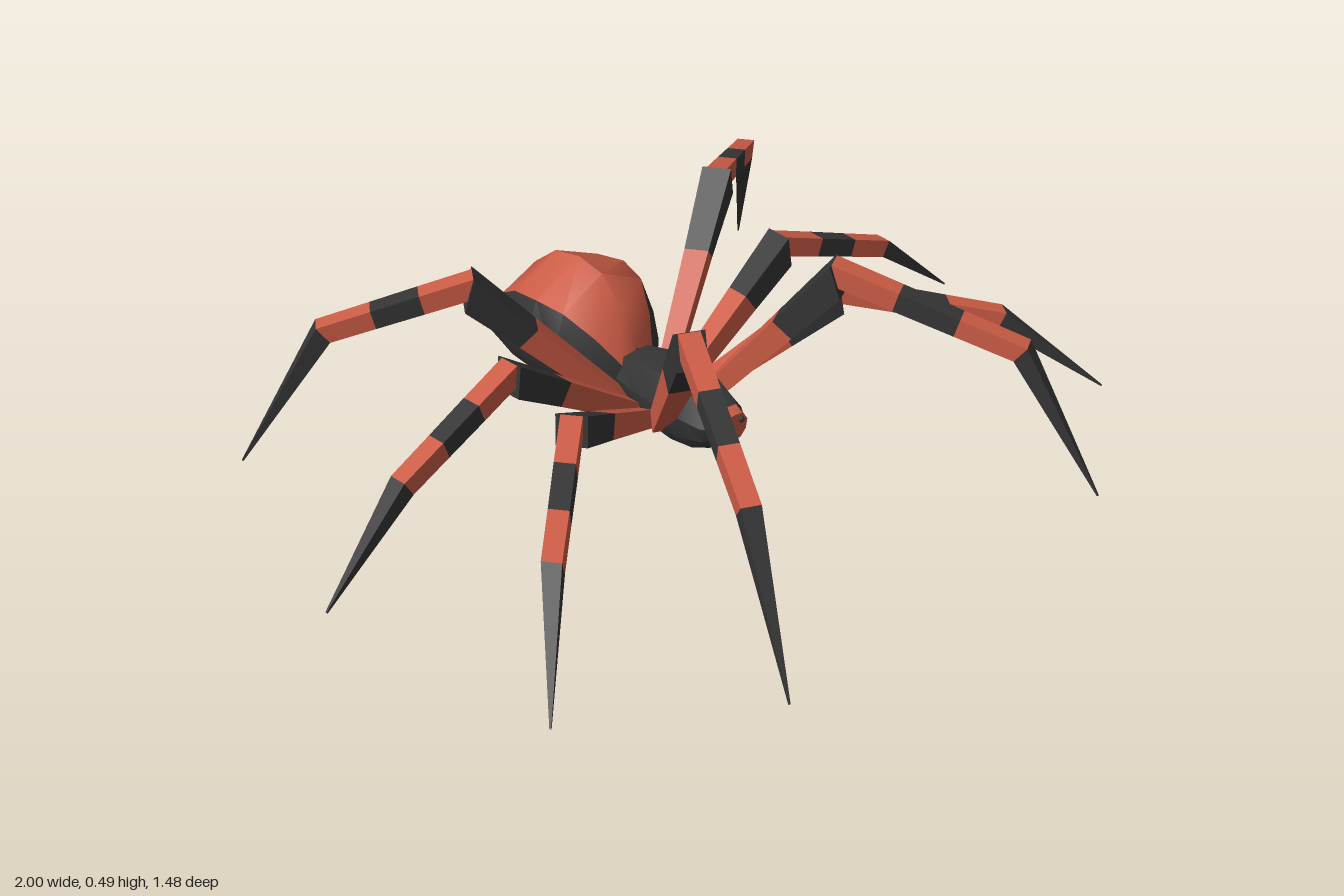
import * as THREE from 'three';
import { toCreasedNormals } from 'three/addons/utils/BufferGeometryUtils.js';

const V = (x, y, z) => new THREE.Vector3(x, y, z);
const red = new THREE.MeshStandardMaterial({ color: 0xcc5c46 });
const dark = new THREE.MeshStandardMaterial({ color: 0x353535 });
const UP = V(0, 1, 0);

// Skin closed rings (counter-clockwise about the travel direction); isRed(band, side) picks the colour.
function loft(name, rings, isRed, crease) {
  const n = rings[0].length, last = rings.length - 1;
  const faces = [[], []];
  for (let i = 0; i < last; i++) {
    for (let j = 0; j < n; j++) {
      const k = (j + 1) % n, a = i * n, b = a + n;
      faces[isRed(i, j) ? 0 : 1].push(a + j, a + k, b + k, a + j, b + k, b + j);
    }
  }
  for (let j = 1; j < n - 1; j++) {
    faces[isRed(-1, j) ? 0 : 1].push(0, j + 1, j);
    faces[isRed(last, j) ? 0 : 1].push(last * n, last * n + j, last * n + j + 1);
  }
  const geometry = new THREE.BufferGeometry().setFromPoints(rings.flat());
  geometry.setIndex(faces.flat());
  geometry.addGroup(0, faces[0].length, 0);
  geometry.addGroup(faces[0].length, faces[1].length, 1);
  const mesh = new THREE.Mesh(toCreasedNormals(geometry, crease), [red, dark]);
  mesh.name = name;
  return mesh;
}

// Square-section leg: banded thigh, banded shin and a pointed foot, mitred at the bends.
function leg(name, root, knee, ankle, tip) {
  const out = tip.clone().sub(root).setY(0).normalize();
  const side = UP.clone().cross(out);
  const normal = (a, b) => b.clone().sub(a).normalize().cross(side).normalize();
  const n1 = normal(root, knee), n2 = normal(knee, ankle), n3 = normal(ankle, tip);
  const mitre = (a, b) => {
    const m = a.clone().add(b).normalize();
    return m.divideScalar(Math.max(0.75, m.dot(a)));
  };
  const kneeUp = mitre(n1, n2), ankleUp = mitre(n2, n3);
  const shin = knee.clone().addScaledVector(kneeUp, 0.01);
  const stations = [
    [root, n1, 0.021],
    [root.clone().lerp(knee, 0.64), n1, 0.03],
    [knee, kneeUp, 0.036],
    [shin, kneeUp, 0.025],
    [shin.clone().lerp(ankle, 0.33), n2, 0.024],
    [shin.clone().lerp(ankle, 0.66), n2, 0.023],
    [ankle, ankleUp, 0.022],
    [tip, n3, 0.002],
  ];
  const corners = [[-1, -1], [1, -1], [1, 1], [-1, 1]];
  const rings = stations.map(([p, up, r]) => corners.map(([s, u]) =>
    p.clone().addScaledVector(side, s * r).addScaledVector(up, u * r)));
  return loft(name, rings, (i) => [0, 3, 5].includes(i), 0.3);
}

// Ring of half-profile points [x, y], the first on the centre line, mirrored across x.
function mirroredRing(z, half) {
  const left = half.map(([x, y]) => V(-x, y, z));
  const right = half.slice(1).reverse().map(([x, y]) => V(x, y, z));
  return [...left, ...right];
}

export function createModel() {
  const model = new THREE.Group();

  // Abdomen: z, half width, ridge height, belly height
  const abdomen = [
    [-0.74, 0.06, 0.11, 0.055], [-0.715, 0.1, 0.155, 0.042], [-0.63, 0.142, 0.27, 0.034],
    [-0.55, 0.174, 0.332, 0.026], [-0.46, 0.184, 0.35, 0.022], [-0.38, 0.163, 0.335, 0.024],
    [-0.31, 0.115, 0.265, 0.03], [-0.26, 0.065, 0.18, 0.04],
  ].map(([z, w, top, low]) => {
    const h = top - low;
    return mirroredRing(z, [
      [0, top], [w * 0.76, top - h * 0.2], [w, low + h * 0.45],
      [w * 0.87, low + h * 0.24], [w * 0.5, low],
    ]);
  });
  model.add(loft('abdomen', abdomen, (i, j) => i >= 0 && i < 7 && [0, 3, 5, 8].includes(j), 0.75));

  // Head and thorax in one tapering shell with a red face
  const thorax = [
    [-0.29, 0.06, 0.17, 0.045], [-0.2, 0.076, 0.192, 0.022], [-0.1, 0.082, 0.2, 0.015],
    [-0.03, 0.078, 0.185, 0.024], [0.025, 0.068, 0.16, 0.048], [0.042, 0.056, 0.152, 0.06],
    [0.068, 0.045, 0.142, 0.073],
  ].map(([z, w, top, low]) => {
    const h = top - low;
    return mirroredRing(z, [
      [0, top], [w * 0.6, top - h * 0.05], [w, low + h * 0.6],
      [w * 0.9, low + h * 0.25], [w * 0.5, low],
    ]);
  });
  model.add(loft('headAndThorax', thorax, (i) => i >= 5, 0.6));

  // Legs, front to back: root, knee, ankle, tip on the left side
  const legs = [
    ['frontLeg', [0.06, 0.06, -0.12], [0.23, 0.46, 0.17], [0.43, 0.345, 0.545], [0.505, 0.01, 0.738]],
    ['secondLeg', [0.06, 0.06, -0.155], [0.425, 0.267, 0.0], [0.71, 0.2, 0.27], [0.89, 0.01, 0.463]],
    ['thirdLeg', [0.06, 0.06, -0.195], [0.43, 0.312, -0.205], [0.76, 0.205, -0.165], [0.998, 0.01, -0.136]],
    ['backLeg', [0.06, 0.06, -0.235], [0.39, 0.445, -0.385], [0.665, 0.375, -0.565], [0.815, 0.01, -0.738]],
  ];
  for (const m of [1, -1]) {
    const prefix = m > 0 ? 'left ' : 'right ';
    for (const [name, ...joints] of legs) {
      model.add(leg(prefix + name, ...joints.map(([x, y, z]) => V(m * x, y, z))));
    }
    // Eyes
    const eye = new THREE.Mesh(new THREE.SphereGeometry(0.009, 8, 6), dark);
    eye.name = prefix + 'eye';
    eye.position.set(m * 0.025, 0.122, 0.067);
    model.add(eye);
  }
  return model;
}
